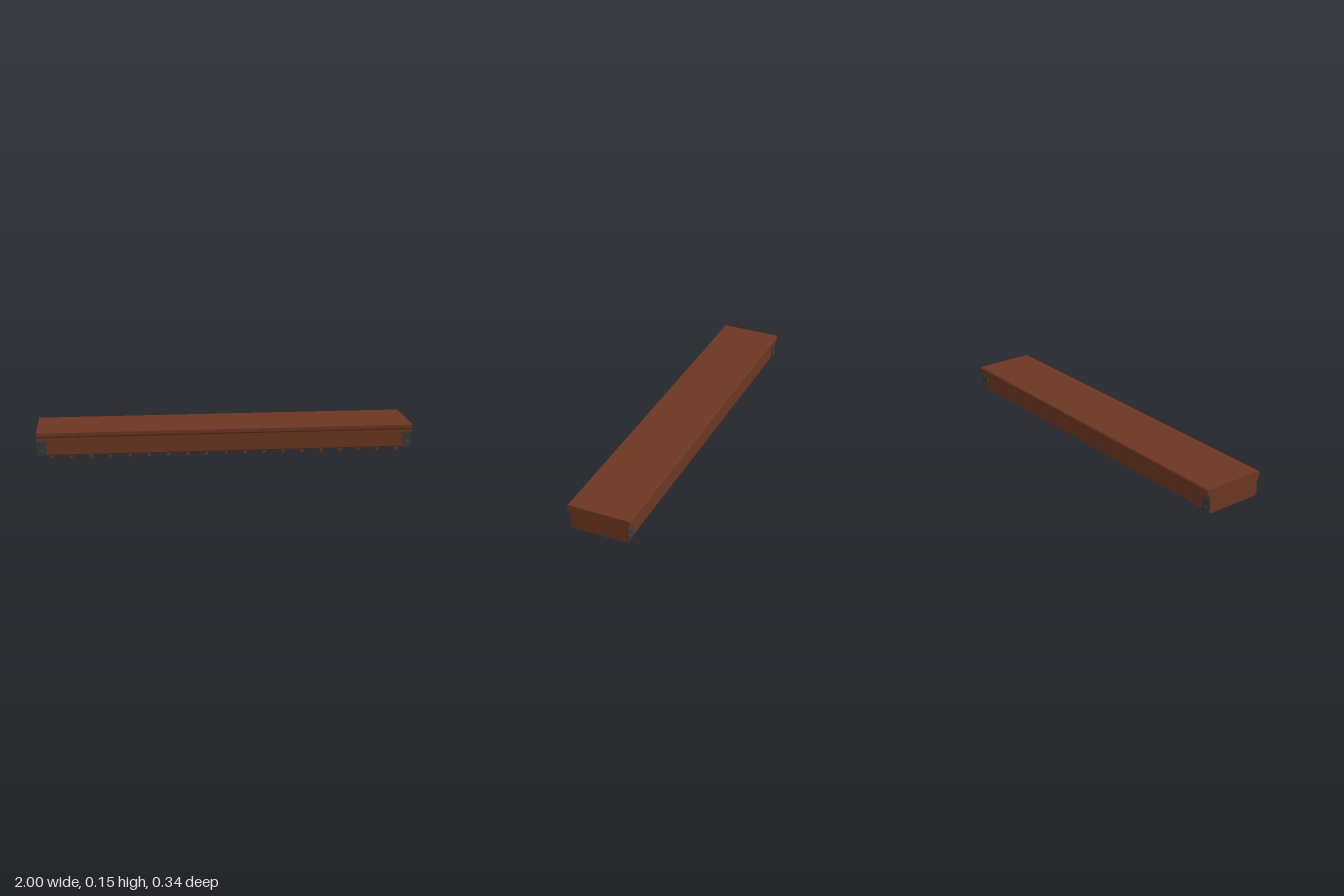
import * as THREE from 'three';

const wood = new THREE.MeshStandardMaterial({ color: 0x6b3622 });
wood.name = 'brown wood';
const iron = new THREE.MeshStandardMaterial({ color: 0x3a3a38 });
iron.name = 'dark iron';

function addMesh(parent, name, geometry, material, x = 0, y = 0, z = 0) {
  const mesh = new THREE.Mesh(geometry, material);
  mesh.name = name;
  mesh.position.set(x, y, z);
  parent.add(mesh);
  return mesh;
}

export function createModel() {
  const model = new THREE.Group();
  model.name = 'shelfBeam';

  // Moulded beam: half profile (z, y) from bottom to top, mirrored and run along x
  const half = [
    [0.146, 0.021], [0.153, 0.026], [0.153, 0.104], [0.161, 0.106],
    [0.161, 0.119], [0.169, 0.127], [0.169, 0.146], [0.164, 0.151],
  ];
  const outline = [...half, ...half.map(([z, y]) => [-z, y]).reverse()];
  const profile = new THREE.Shape(outline.map(([z, y]) => new THREE.Vector2(z, y)));
  const beam = new THREE.ExtrudeGeometry(profile, { depth: 2, bevelEnabled: false });
  beam.rotateY(Math.PI / 2).translate(-1, 0, 0);
  addMesh(model, 'beam', beam, wood);

  // Row of chamfered slats under the beam
  const slatProfile = new THREE.Shape([
    [-0.008, 0.004], [-0.004, 0], [0.004, 0], [0.008, 0.004], [0.008, 0.024], [-0.008, 0.024],
  ].map(([x, y]) => new THREE.Vector2(x, y)));
  const slat = new THREE.ExtrudeGeometry(slatProfile, { depth: 0.26, bevelEnabled: false });
  const slats = new THREE.Group();
  slats.name = 'slats';
  model.add(slats);
  const count = 19;
  for (let i = 0; i < count; i++) {
    addMesh(slats, 'slat', slat, wood, -0.923 + (1.846 * i) / (count - 1), 0, -0.125);
  }

  // Riveted iron plates at the four corners
  const plate = new THREE.BoxGeometry(0.05, 0.079, 0.006);
  const rivet = new THREE.CylinderGeometry(0.008, 0.012, 0.006, 8).rotateX(Math.PI / 2);
  for (const sx of [-1, 1]) {
    for (const sz of [-1, 1]) {
      const bracket = new THREE.Group();
      bracket.name = 'cornerBracket';
      bracket.position.set(sx * 0.975, 0.0645, sz * 0.155);
      if (sz < 0) bracket.rotation.y = Math.PI;
      model.add(bracket);
      addMesh(bracket, 'plate', plate, iron);
      for (const y of [-0.021, 0.023]) addMesh(bracket, 'rivet', rivet, iron, 0, y, 0.005);
    }
  }
  return model;
}
